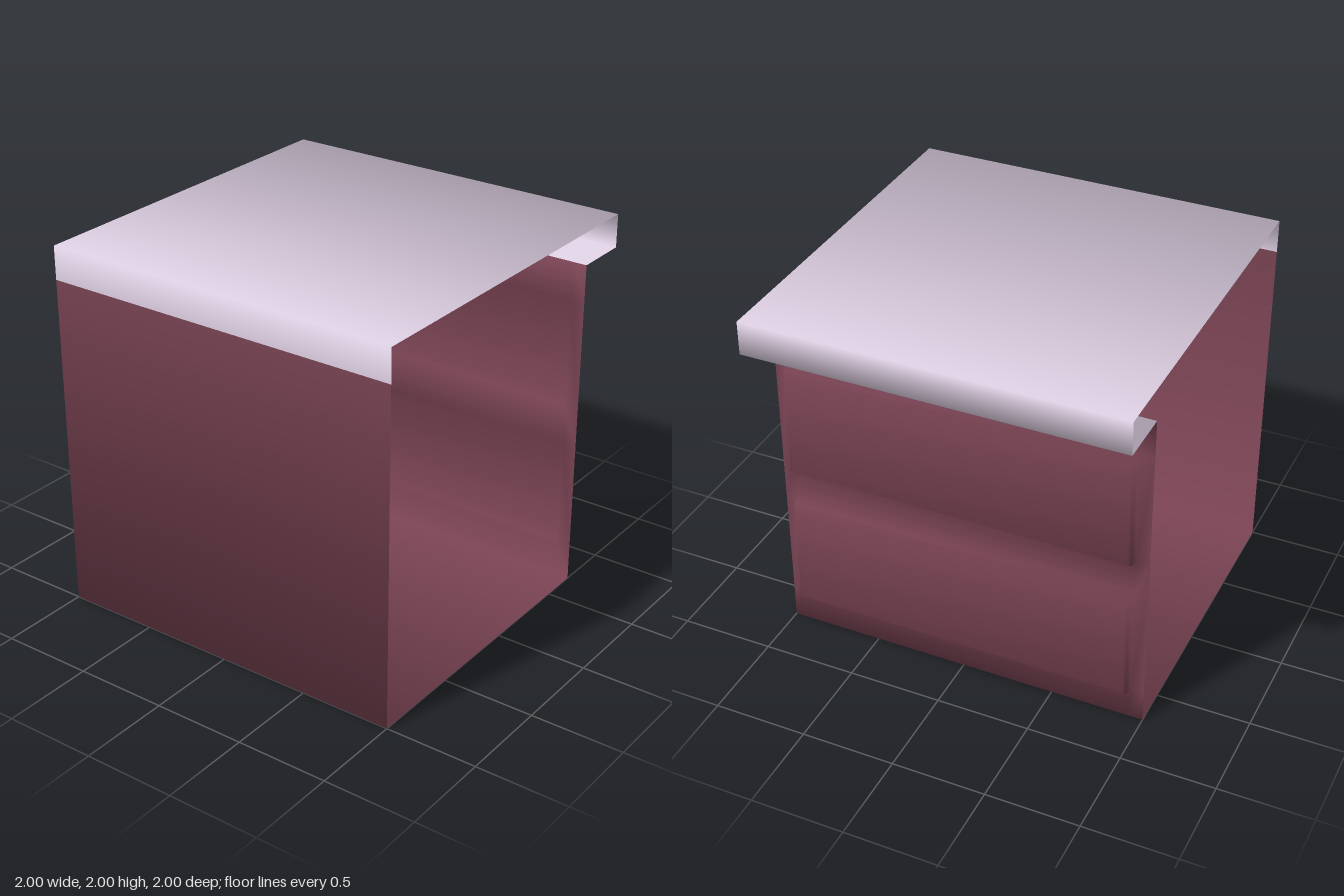
import * as THREE from 'three';

const cols = [-1, -0.93, 0.93, 1];        // shared x divisions
const backZ = -0.7, trimY = 1.82;
const drawerRows = [[1.61, 0.99], [0.8, 0.18]];

// Sheet swept across x along a path of [z, y] points; skip() leaves openings
function sweep(path, skip = () => false) {
  const quads = [];
  for (let j = 0; j < path.length - 1; j++) {
    const [[pz, py], [qz, qy]] = [path[j], path[j + 1]];
    for (let i = 0; i < cols.length - 1; i++) {
      if (skip(i, j)) continue;
      const a = cols[i], b = cols[i + 1];
      quads.push([[a, py, pz], [b, py, pz], [b, qy, qz], [a, qy, qz]]);
    }
  }
  return quads;
}

// Raised drawer front built from shrinking rectangles
function drawer([top, bottom]) {
  const loop = (inset, z) => {
    const w = 0.93 - inset, t = top - inset, b = bottom + inset;
    return [[-w, t, z], [w, t, z], [w, b, z], [-w, b, z]];
  };
  const loops = [loop(0, backZ), loop(0.005, -0.75), loop(0.02, -0.767)];
  const quads = [loops[2]];
  for (let k = 0; k < 2; k++) {
    for (let i = 0; i < 4; i++) {
      const n = (i + 1) % 4;
      quads.push([loops[k][i], loops[k][n], loops[k + 1][n], loops[k + 1][i]]);
    }
  }
  return quads;
}

const key = (p) => p.map((v) => v.toFixed(3)).join();

// Average the face directions meeting at every corner for soft shading
function collectNormals(quads) {
  const normals = new Map();
  for (const q of quads) {
    const [a, b, c] = q.map((p) => new THREE.Vector3(...p));
    const n = b.clone().sub(a).cross(c.sub(a)).normalize();
    for (const p of q) {
      const k = key(p);
      if (!normals.has(k)) normals.set(k, new THREE.Vector3());
      normals.get(k).add(n);
    }
  }
  normals.forEach((n) => n.normalize());
  return normals;
}

function quadMesh(name, quads, normals, material) {
  const pos = [], nor = [], index = [];
  quads.forEach((q, i) => {
    for (const p of q) {
      pos.push(...p);
      nor.push(...normals.get(key(p)).toArray());
    }
    index.push(...[0, 1, 2, 0, 2, 3].map((v) => v + i * 4));
  });
  const geo = new THREE.BufferGeometry();
  geo.setAttribute('position', new THREE.Float32BufferAttribute(pos, 3));
  geo.setAttribute('normal', new THREE.Float32BufferAttribute(nor, 3));
  geo.setIndex(index);
  const mesh = new THREE.Mesh(geo, material);
  mesh.name = name;
  return mesh;
}

export function createModel() {
  const cabinetPaint = new THREE.MeshStandardMaterial({ color: 0x784252, side: THREE.DoubleSide });
  cabinetPaint.name = 'maroon cabinet';
  const counterPaint = new THREE.MeshStandardMaterial({ color: 0xdaccdf, side: THREE.DoubleSide });
  counterPaint.name = 'pale lilac counter';

  const rows = [trimY, ...drawerRows.flat(), 0].map((y) => [backZ, y]);
  const parts = [
    // Worktop with front trim, overhanging lip and its underside
    ['countertop', sweep([[1, trimY], [1, 2], [-1, 2], [-1, trimY], [backZ, trimY]]), counterPaint],
    // Drawer-side panel with two openings
    ['drawerPanel', sweep(rows, (i, j) => i === 1 && j % 2 === 1), cabinetPaint],
    // Floor and plain panel
    ['cabinetShell', sweep([[backZ, 0], [1, 0], [1, trimY]]), cabinetPaint],
    ['upperDrawer', drawer(drawerRows[0]), cabinetPaint],
    ['lowerDrawer', drawer(drawerRows[1]), cabinetPaint],
  ];

  const normals = collectNormals(parts.flatMap((p) => p[1]));
  const group = new THREE.Group();
  group.name = 'counterSection';
  for (const [name, quads, material] of parts) group.add(quadMesh(name, quads, normals, material));
  return group;
}
